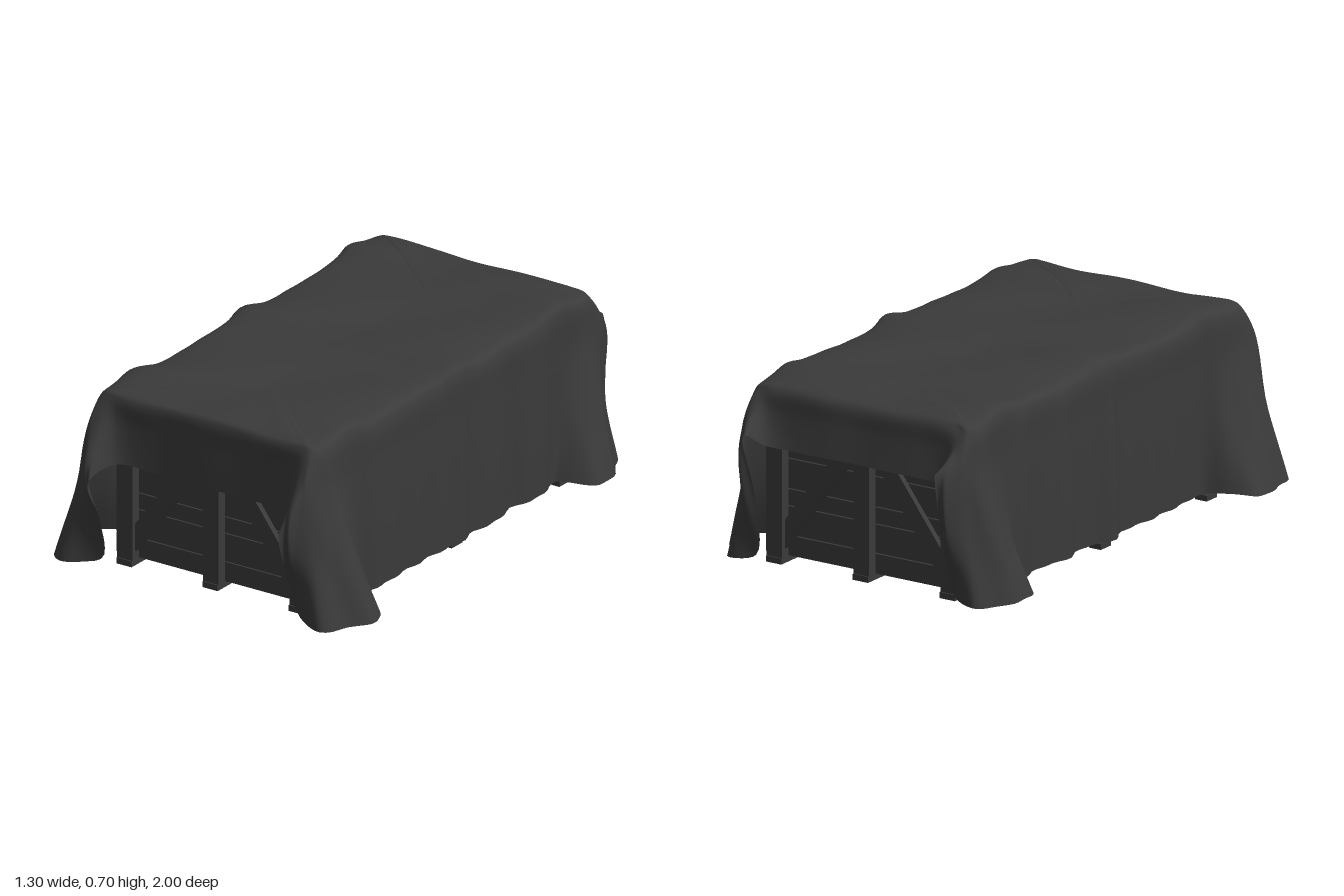
import * as THREE from 'three';

const material = new THREE.MeshStandardMaterial({ color: 0x3a3a3a });
const clothMaterial = new THREE.MeshStandardMaterial({ color: 0x3a3a3a, side: THREE.DoubleSide });

function box(parent, name, [w, h, d], [x, y, z], roll = 0) {
  const mesh = new THREE.Mesh(new THREE.BoxGeometry(w, h, d), material);
  mesh.name = name;
  mesh.position.set(x, y, z);
  mesh.rotation.z = roll;
  parent.add(mesh);
}

// Wooden crate: planked body, battens, braces and skids
function createCrate() {
  const crate = new THREE.Group();
  crate.name = 'crate';
  crate.position.set(0.013, 0, -0.01);
  box(crate, 'core', [0.82, 0.59, 1.56], [0, 0.35, 0]);

  // Horizontal wall planks
  const joints = [0.04, 0.117, 0.225, 0.288, 0.4, 0.52, 0.65];
  for (let i = 0; i < joints.length - 1; i++) {
    const h = joints[i + 1] - joints[i] - 0.004;
    const y = (joints[i] + joints[i + 1]) / 2;
    for (const s of [-1, 1]) {
      box(crate, 'endPlank', [0.86, h, 0.02], [0, y, s * 0.79]);
      box(crate, 'sidePlank', [0.02, h, 1.56], [s * 0.42, y, 0]);
    }
  }
  // Floor and lid planks
  for (let i = 0; i < 6; i++) {
    const x = (i - 2.5) * 0.138;
    box(crate, 'floorPlank', [0.134, 0.015, 1.56], [x, 0.049, 0]);
    box(crate, 'lidPlank', [0.134, 0.012, 1.56], [x, 0.646, 0]);
  }
  // End posts and diagonal braces
  for (const s of [-1, 1]) {
    for (const x of [-0.367, 0, 0.367]) box(crate, 'endPost', [0.065, 0.63, 0.04], [x, 0.335, s * 0.82]);
    for (const m of [-1, 1]) box(crate, 'brace', [0.065, 0.56, 0.025], [m * 0.19, 0.318, s * 0.81], m * 0.64);
  }
  // Lengthwise runners
  for (const x of [-0.367, 0, 0.367]) box(crate, 'runner', [0.065, 0.022, 1.69], [x, 0.03, 0]);
  // Cross skids and side battens
  for (const z of [-0.66, 0, 0.66]) {
    box(crate, 'skid', [0.93, 0.016, 0.065], [0, 0.013, z]);
    for (const s of [-1, 1]) {
      box(crate, 'sideBatten', [0.02, 0.64, 0.065], [s * 0.44, 0.335, z]);
      box(crate, 'skidFoot', [0.05, 0.015, 0.065], [s * 0.44, 0.0075, z]);
    }
  }
  return crate;
}

// Tarp corner columns, each from the top edge to the hem
const corner = [
  [[0.425, 0.672, 0.68], [0.465, 0.65, 0.68], [0.48, 0.5, 0.68], [0.505, 0.27, 0.66], [0.54, 0.04, 0.635]],
  [[0.425, 0.672, 0.77], [0.465, 0.65, 0.78], [0.49, 0.5, 0.77], [0.555, 0.27, 0.75], [0.635, 0.03, 0.7]],
  [[0.425, 0.672, 0.82], [0.463, 0.65, 0.83], [0.495, 0.5, 0.85], [0.555, 0.27, 0.85], [0.64, 0.03, 0.8]],
  [[0.42, 0.674, 0.83], [0.455, 0.65, 0.848], [0.48, 0.52, 0.89], [0.505, 0.28, 0.91], [0.55, 0.03, 0.95]],
  [[0.415, 0.674, 0.835], [0.447, 0.65, 0.853], [0.46, 0.54, 0.91], [0.445, 0.3, 0.95], [0.42, 0.05, 0.89]],
  [[0.405, 0.674, 0.838], [0.437, 0.65, 0.856], [0.445, 0.55, 0.91], [0.435, 0.4, 0.98], [0.395, 0.23, 0.94]],
  [[0.39, 0.674, 0.838], [0.42, 0.65, 0.856], [0.42, 0.56, 0.9], [0.415, 0.47, 0.95], [0.405, 0.38, 0.995]],
  [[0.36, 0.674, 0.838], [0.375, 0.65, 0.853], [0.375, 0.57, 0.86], [0.37, 0.49, 0.87], [0.365, 0.42, 0.88]],
];
const sideColumn = z => [[0.425, 0.672, z], [0.46, 0.65, z], [0.472, 0.5, z], [0.48, 0.27, z], [0.482, 0.035, z]];
const endColumn = x => [[x, 0.672, 0.832], [x, 0.65, 0.848], [x, 0.57, 0.85], [x, 0.49, 0.852], [x, 0.41, 0.853]];

// The back flap hangs shorter and flares out, its corners tuck in
function quarter(sx, sz) {
  const columns = [...[0.08, 0.26, 0.44, 0.59].map(sideColumn), ...corner, ...[0.22, 0.07].map(endColumn)];
  return columns.map((column, c) => column.map(([x, y, z], r) => {
    let lift = 0, flare = 0, tuck = 0;
    if (sz < 0) {
      if (c === 10) lift = [0, 0, 0.03, 0.08, 0.14][r];
      if (c === 9) lift = [0, 0, 0.02, 0.05, 0.06][r];
      if (c > 10) {
        lift = [0, 0, 0.01, 0.03, 0.05][r];
        flare = [0, 0.01, 0.02, 0.03, 0.042][r];
      }
      if (c > 3 && c < 8) tuck = 0.035 * (0.672 - y) / 0.63;
    }
    const shift = c < 4 ? 0.022 : 0.01;
    return new THREE.Vector3(sx * (x - tuck) + shift, y + lift, sz * (z + flare - tuck));
  }));
}

const bump = (v, centre, width) => Math.exp(-(((v - centre) / width) ** 2));
const ribs = z => bump(z, -0.01, 0.08) + bump(z, 0.65, 0.09) + bump(z, -0.66, 0.09);

// Sag between the ribs and hanging folds
function drape(p) {
  const fall = THREE.MathUtils.clamp((0.672 - p.y) / 0.5, 0, 1);
  const s = Math.sign(p.x);
  const side = THREE.MathUtils.smoothstep(Math.abs(p.x), 0.4, 0.46);
  const end = THREE.MathUtils.smoothstep(Math.abs(p.z), 0.83, 0.86) * (1 - side);
  const folds = Math.sin(p.z * 11 + s * 2) * Math.sin(p.z * 37 + s) + 0.6 * Math.sin(p.z * 21 - s * 1.3);
  p.x += s * side * (0.009 * folds * (0.3 + fall) + 0.016 * bump(p.z, -0.01, 0.07));
  p.z += Math.sign(p.z) * end * 0.003 * Math.sin(p.x * 19 + p.z * 2);
  const top = THREE.MathUtils.smoothstep(p.y, 0.5, 0.67);
  const edge = 0.6 + 0.4 * Math.min(1, Math.abs(p.x) / 0.4);
  p.y += top * (0.024 * ribs(p.z) * edge + 0.004 * Math.sin(p.x * 13 + p.z * 9) - 0.002);
  p.y = Math.max(p.y, 0.025);
  return p;
}

function createTarp() {
  const loop = [
    ...quarter(1, 1), ...quarter(-1, 1).reverse(),
    ...quarter(-1, -1), ...quarter(1, -1).reverse(),
  ];
  const rows = [0, 1, 2, 3, 4].map(r => new THREE.CatmullRomCurve3(loop.map(c => c[r]), true));
  const around = 336, down = 30;
  const positions = [], index = [];
  for (let i = 0; i <= around; i++) {
    const points = rows.map(row => row.getPoint((i % around) / around));
    const spine = new THREE.Vector3(0.012, 0.672, THREE.MathUtils.clamp(points[0].z, -0.5, 0.5));
    const column = new THREE.CatmullRomCurve3([spine, ...points]);
    for (let j = 0; j <= down; j++) {
      positions.push(...drape(column.getPoint(j / down)).toArray());
      if (i < around && j < down) {
        const a = i * (down + 1) + j, b = a + down + 1;
        index.push(a, b, a + 1, b, b + 1, a + 1);
      }
    }
  }
  const geometry = new THREE.BufferGeometry();
  geometry.setAttribute('position', new THREE.Float32BufferAttribute(positions, 3));
  geometry.setIndex(index);
  geometry.computeVertexNormals();
  const tarp = new THREE.Mesh(geometry, clothMaterial);
  tarp.name = 'tarp';
  return tarp;
}

export function createModel() {
  const model = new THREE.Group();
  model.name = 'coveredCrate';
  model.add(createCrate(), createTarp());
  return model;
}
